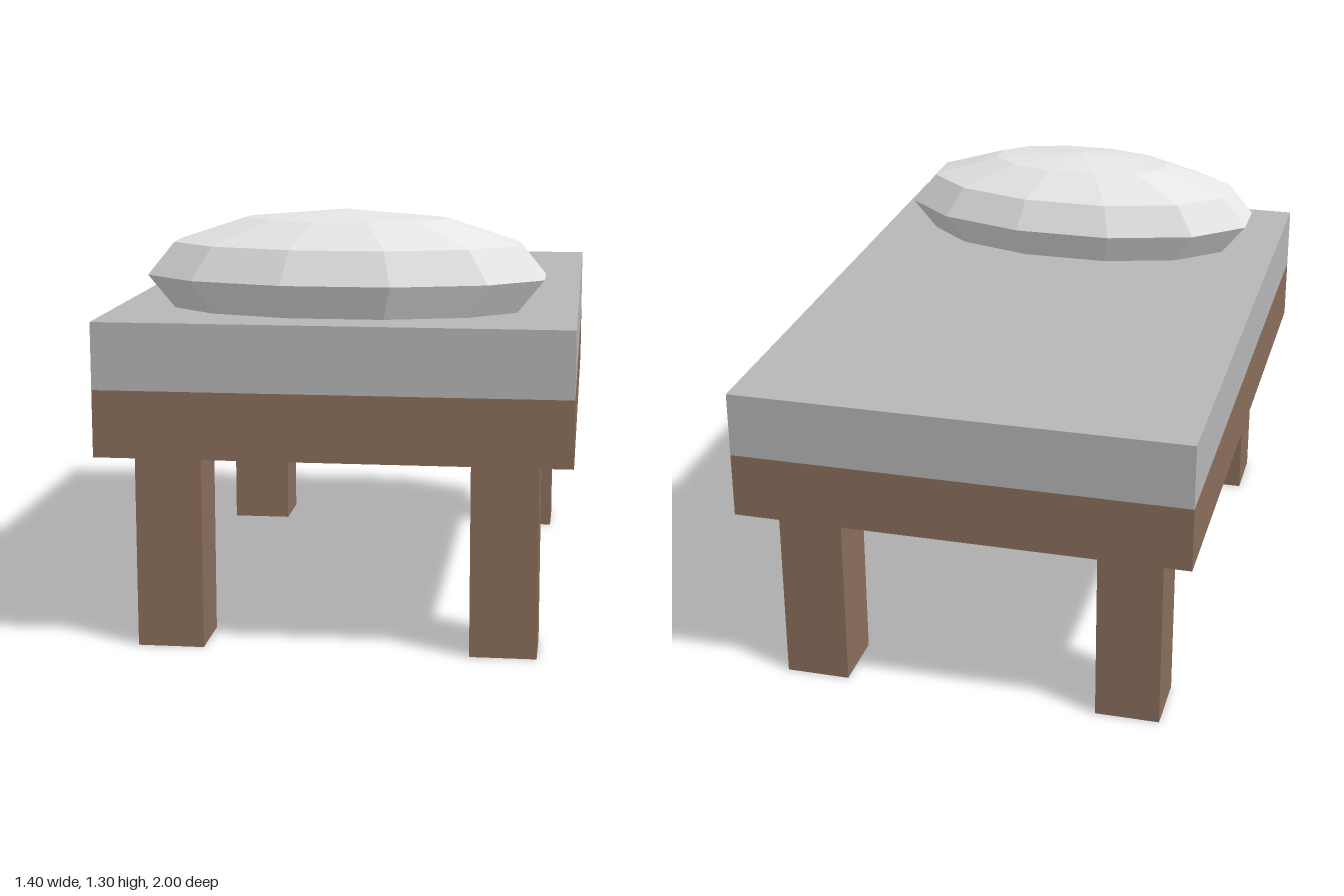
import * as THREE from 'three';

export function createModel() {
  const bed = new THREE.Group();
  bed.name = 'bed';

  const material = (name, color) => {
    const m = new THREE.MeshStandardMaterial({ color, flatShading: true });
    m.name = name;
    return m;
  };
  const wood = material('brown wood', 0x8b6f5c);
  const fabric = material('grey fabric', 0xb8b8b8);
  const linen = material('pale linen', 0xe6e6e6);

  const add = (name, geometry, mat, x, y, z) => {
    const mesh = new THREE.Mesh(geometry, mat);
    mesh.name = name;
    mesh.position.set(x, y, z);
    bed.add(mesh);
    return mesh;
  };

  // Frame and mattress slabs
  add('frame', new THREE.BoxGeometry(1.4, 0.2, 2), wood, 0, 0.7, 0);
  add('mattress', new THREE.BoxGeometry(1.4, 0.2, 2), fabric, 0, 0.9, 0);

  // Four square legs, inset from the corners
  const legGeometry = new THREE.BoxGeometry(0.2, 0.6, 0.2);
  for (const [side, x] of [['Left', 0.5], ['Right', -0.5]]) {
    for (const [end, z] of [['front', 0.8], ['back', -0.8]]) {
      add(`${end}${side}Leg`, legGeometry, wood, x, 0.3, z);
    }
  }

  // Faceted pillow: a turned 12-sided sphere, flattened and sunk into the mattress
  const pillow = new THREE.SphereGeometry(1, 12, 6);
  pillow.rotateY(Math.PI / 12);
  const across = 1 / Math.cos(Math.PI / 12);
  pillow.scale(0.6 * across, 0.2, 0.3 * across);
  add('pillow', pillow, linen, 0, 1.1, 0.6);

  return bed;
}
